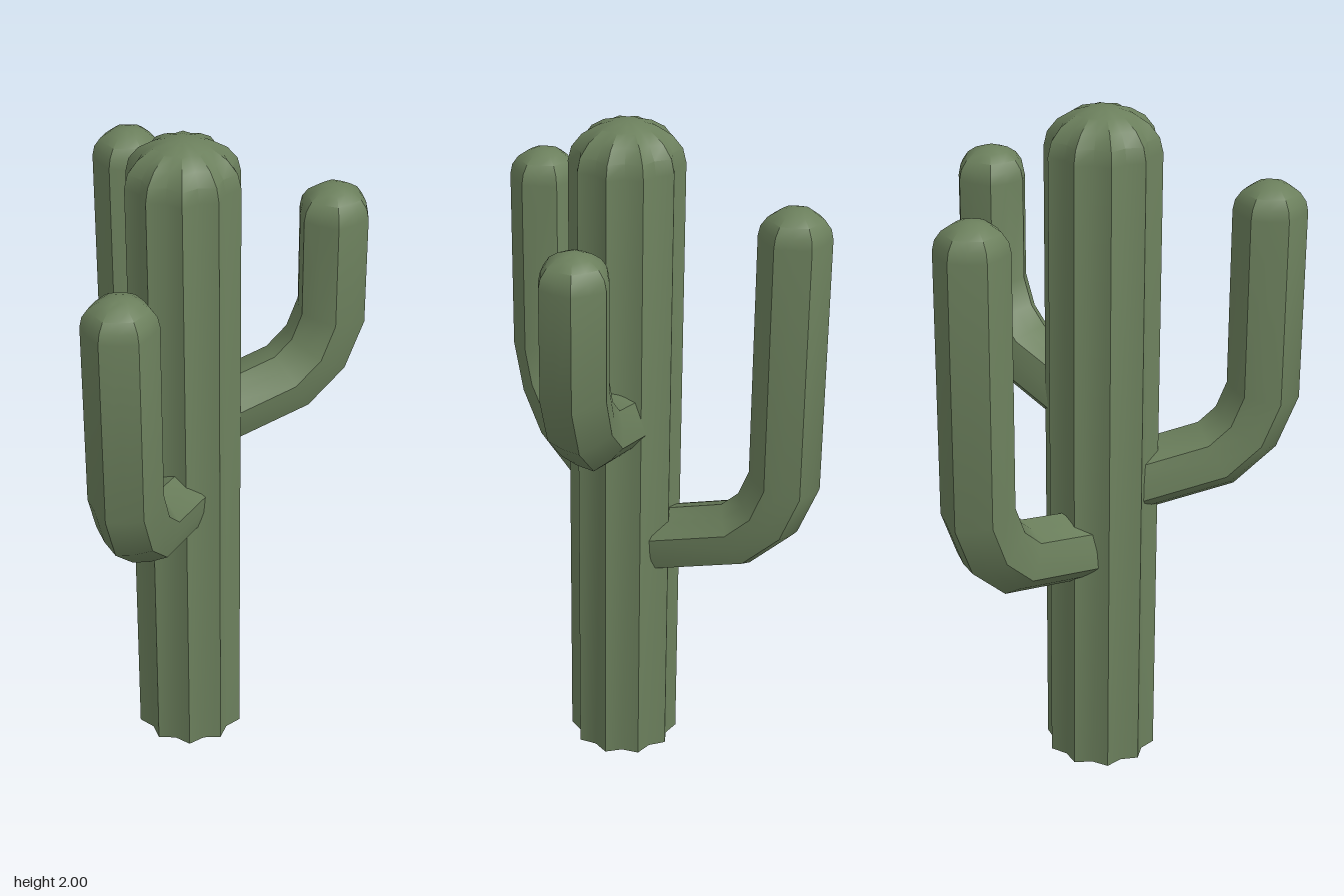
import * as THREE from 'three';
import { toCreasedNormals } from 'three/addons/utils/BufferGeometryUtils.js';

// Ribbed stem swept along a path of [x, y] points, flat at the start and domed at the end.
function stemGeometry(path, ribs, ridge, valley, domeHeight, phase) {
  const sides = ribs * 2;
  const positions = [];
  const index = [];
  const rings = [];

  const addRing = (x, y, heading, scale, mitre) => {
    rings.push(positions.length / 3);
    for (let j = 0; j < sides; j++) {
      const a = phase + (j / sides) * Math.PI * 2;
      const r = (j % 2 ? valley : ridge) * scale;
      const n = r * Math.sin(a) * mitre;
      positions.push(x - n * Math.sin(heading), y + n * Math.cos(heading), r * Math.cos(a));
    }
  };

  // Body rings, mitred at each bend
  const headings = path.slice(1).map(([x, y], i) => Math.atan2(y - path[i][1], x - path[i][0]));
  path.forEach(([x, y], i) => {
    const before = headings[Math.max(i - 1, 0)];
    const after = headings[Math.min(i, headings.length - 1)];
    addRing(x, y, (before + after) / 2, 1, 1 / Math.cos((after - before) / 2));
  });

  // Dome rings
  const [endX, endY] = path[path.length - 1];
  for (const t of [0.35, 0.7, 1.05, 1.3]) {
    addRing(endX, endY + domeHeight * Math.sin(t), Math.PI / 2, Math.cos(t), 1);
  }

  const tip = positions.length / 3;
  positions.push(endX, endY + domeHeight, 0);
  const base = tip + 1;
  positions.push(path[0][0], path[0][1], 0);

  for (let j = 0; j < sides; j++) {
    const k = (j + 1) % sides;
    for (let i = 0; i < rings.length - 1; i++) {
      const lo = rings[i], hi = rings[i + 1];
      index.push(lo + j, hi + j, lo + k, lo + k, hi + j, hi + k);
    }
    const last = rings[rings.length - 1];
    index.push(last + j, tip, last + k, base, j, k);
  }

  const geometry = new THREE.BufferGeometry();
  geometry.setAttribute('position', new THREE.Float32BufferAttribute(positions, 3));
  geometry.setIndex(index);
  return toCreasedNormals(geometry, 0.6);
}

export function createModel() {
  const group = new THREE.Group();
  group.name = 'cactus';
  const green = new THREE.MeshStandardMaterial({ color: 0x6b7f5c });
  green.name = 'cactusGreen';

  const addStem = (name, geometry, turn) => {
    const mesh = new THREE.Mesh(geometry, green);
    mesh.name = name;
    mesh.position.set(-0.117, 0, 0.004);
    mesh.rotation.y = THREE.MathUtils.degToRad(turn);
    group.add(mesh);
  };

  // Trunk
  addStem('trunk', stemGeometry([[0, 0], [0, 1.88]], 10, 0.163, 0.141, 0.12, 0), 0);

  // Arms: out of the trunk, round the elbow, then straight up
  const arms = [
    { name: 'leftArm', turn: 20, reach: 0.44, y: 1.145, top: 1.785, phase: 15 },
    { name: 'frontArm', turn: -110, reach: 0.46, y: 0.91, top: 1.775, phase: 40 },
    { name: 'backArm', turn: 110, reach: 0.483, y: 0.725, top: 1.805, phase: 20 },
  ];
  for (const { name, turn, reach, y, top, phase } of arms) {
    const path = [
      [0.06, y - 0.03],
      [reach - 0.13, y + 0.045],
      [reach - 0.045, y + 0.125],
      [reach, y + 0.24],
      [reach, top - 0.085],
    ];
    addStem(name, stemGeometry(path, 6, 0.103, 0.094, 0.085, THREE.MathUtils.degToRad(phase)), turn);
  }

  return group;
}
